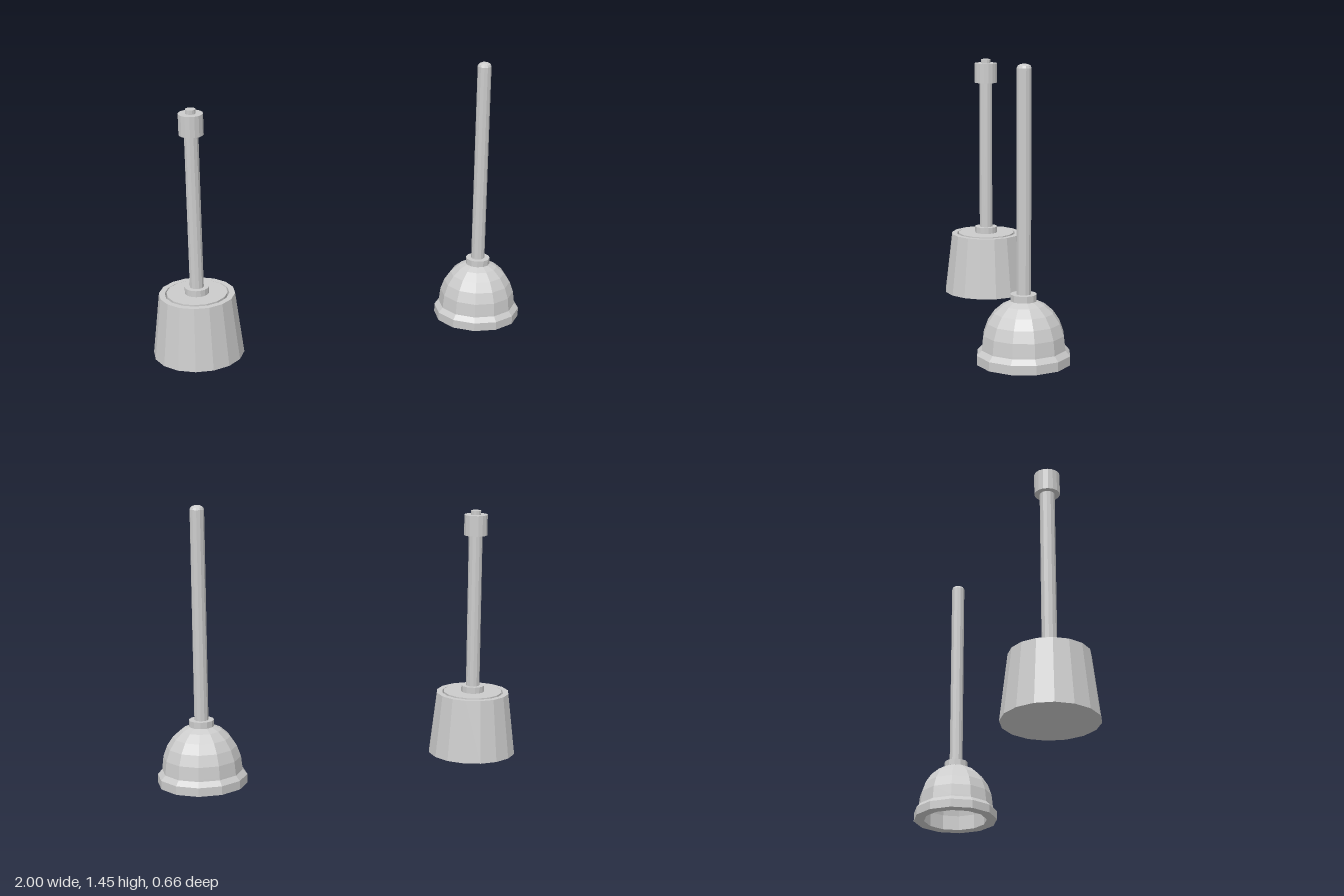
import * as THREE from 'three';

const material = new THREE.MeshStandardMaterial({ color: 0xcccccc, flatShading: true });

// Turned part from [radius, height] points, outer side running upwards
function turned(name, sides, points) {
  const profile = points.map(([r, y]) => new THREE.Vector2(r, y));
  const mesh = new THREE.Mesh(new THREE.LatheGeometry(profile, sides), material);
  mesh.name = name;
  return mesh;
}

// Straight round part between two heights
function rod(name, radius, y0, y1, sides = 12) {
  const mesh = new THREE.Mesh(new THREE.CylinderGeometry(radius, radius, y1 - y0, sides), material);
  mesh.position.y = (y0 + y1) / 2;
  mesh.name = name;
  return mesh;
}

// Points on a dome, from its base up to the given angle
function dome(radius, height, baseY, steps, endAngle) {
  return Array.from({ length: steps + 1 }, (_, i) => {
    const a = (endAngle * i) / steps;
    return [radius * Math.cos(a), baseY + height * Math.sin(a)];
  });
}

function createPlunger() {
  const group = new THREE.Group();
  group.name = 'plunger';

  // Hollow rubber cup: inside surface down to the lip, then the outside up
  const inner = dome(0.172, 0.19, 0.1, 5, Math.PI / 2).reverse();
  inner[0][0] = 0;
  const outer = dome(0.205, 0.235, 0.1, 6, Math.PI / 2);
  outer[6][0] = 0;
  group.add(turned('rubberCup', 12, [
    ...inner, [0.172, 0.02], [0.229, 0.02], [0.229, 0.065], [0.206, 0.09], ...outer,
  ]));

  group.add(rod('plungerCollar', 0.064, 0.322, 0.355));
  group.add(turned('plungerHandle', 12, [
    [0, 0.33], [0.036, 0.33], [0.036, 1.43], [0.031, 1.441], [0.019, 1.448], [0, 1.451],
  ]));

  group.position.set(0.77, 0, 0.1);
  return group;
}

function createBrush() {
  const group = new THREE.Group();
  group.name = 'toiletBrush';

  // Tapered holder with an open top
  group.add(turned('holder', 16, [
    [0, 0], [0.237, 0], [0.197, 0.337], [0.167, 0.337], [0.167, 0.29], [0, 0.29],
  ]));

  // Lid sitting in the opening, then the brush handle
  group.add(rod('lid', 0.158, 0.28, 0.341, 16));
  group.add(rod('brushCollar', 0.063, 0.335, 0.375, 16));
  group.add(rod('brushHandle', 0.037, 0.36, 1.22));
  group.add(rod('grip', 0.063, 1.202, 1.312, 16));
  group.add(rod('gripCap', 0.027, 1.3, 1.334));

  group.position.set(-0.765, 0, -0.092);
  return group;
}

export function createModel() {
  const model = new THREE.Group();
  model.name = 'bathroomTools';
  model.add(createPlunger(), createBrush());
  return model;
}
